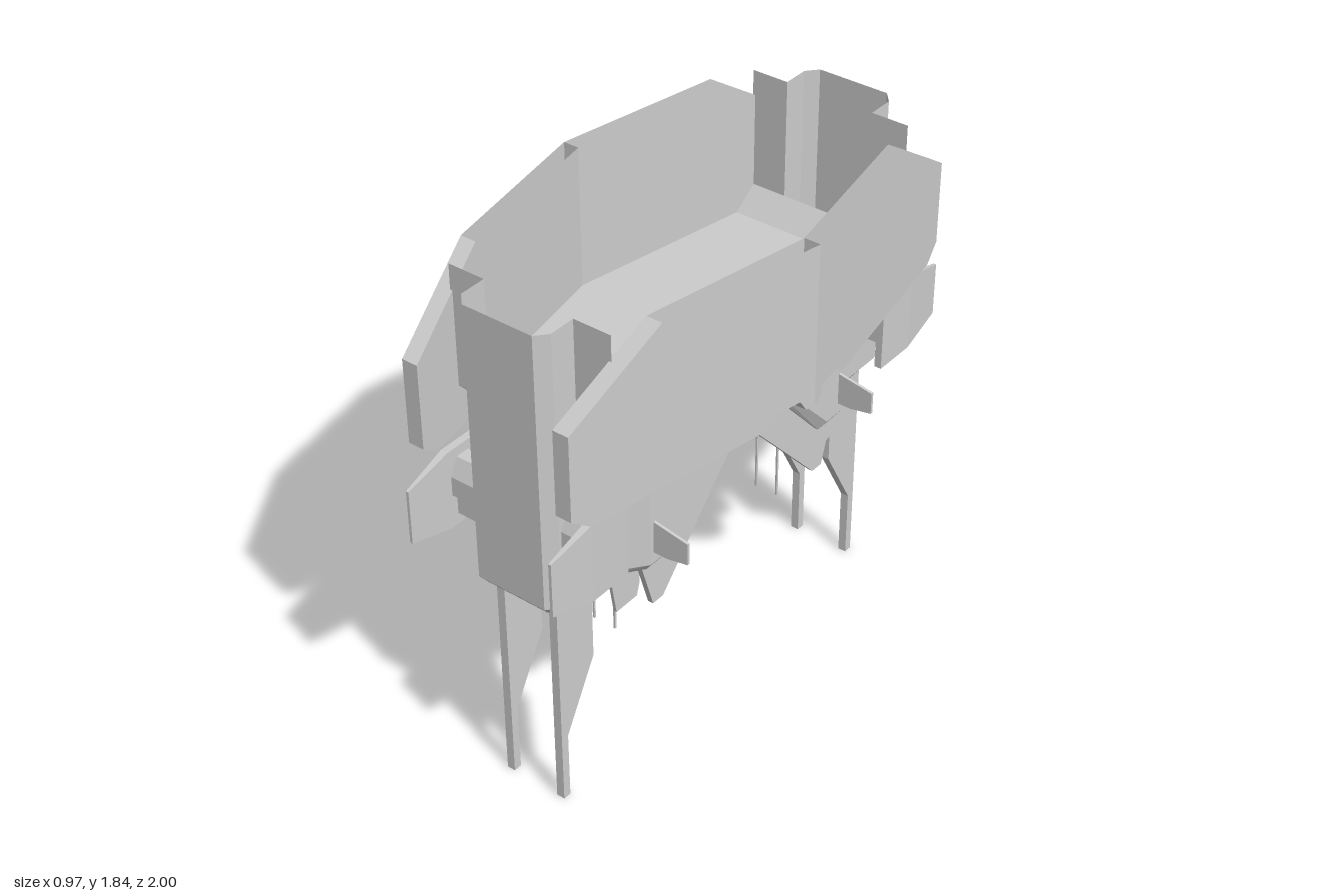
import * as THREE from 'three';
import { ConvexGeometry } from 'three/addons/geometries/ConvexGeometry.js';

const hull = new THREE.MeshStandardMaterial({ color: 0xcccccc, side: THREE.DoubleSide });
hull.name = 'hull grey';

// Plate with a (z, y) outline, centred on x
function sidePlate(outline, thick) {
  const shape = new THREE.Shape(outline.map(([z, y]) => new THREE.Vector2(z, y)));
  const g = new THREE.ExtrudeGeometry(shape, { depth: thick, bevelEnabled: false });
  return g.translate(0, 0, -thick / 2).rotateY(-Math.PI / 2);
}

// Open surface from quads [a, b, c, d]
function quads(list) {
  const pos = [];
  for (const [a, b, c, d] of list) pos.push(...a, ...b, ...c, ...a, ...c, ...d);
  const g = new THREE.BufferGeometry();
  g.setAttribute('position', new THREE.Float32BufferAttribute(pos, 3));
  g.computeVertexNormals();
  return g;
}

function convex(points) {
  return new ConvexGeometry(points.map(p => new THREE.Vector3(...p)));
}

// Points mirrored across x
const both = pts => pts.flatMap(([x, y, z]) => [[x, y, z], [-x, y, z]]);

// Slanted armour panel, open along its top edge
function armourPanel(s) {
  const g = sidePlate([[0, 1.26], [0.035, 1.26], [0.06, 1.3], [0.15, 1.3], [0.2, 1.26], [0.87, 1.26],
    [0.94, 1.31], [0.94, 1.61], [0.6, 1.835], [0, 1.835]], 0.057);
  const p = g.attributes.position, kept = [];
  for (let i = 0; i < p.count; i += 3) {
    if ([0, 1, 2].every(k => p.getY(i + k) > 1.83)) continue;
    for (let k = 0; k < 3; k++) {
      const z = p.getZ(i + k);
      kept.push(p.getX(i + k) + s * (0.4565 - 0.186 * z), p.getY(i + k), z);
    }
  }
  const out = new THREE.BufferGeometry();
  out.setAttribute('position', new THREE.Float32BufferAttribute(kept, 3));
  out.computeVertexNormals();
  return out;
}

function createHalf() {
  const half = new THREE.Group();
  const add = (name, geo, x = 0, y = 0, z = 0, parent = half) => {
    const m = new THREE.Mesh(geo, hull);
    m.name = name;
    m.position.set(x, y, z);
    parent.add(m);
    return m;
  };
  const box = (name, w, h, d, x, y, z, parent) => add(name, new THREE.BoxGeometry(w, h, d), x, y, z, parent);

  // Wedge-shaped lower body with bevelled bottom edges
  add('lowerBody', convex(both([
    [0.25, 1.325, 0], [0.25, 1.26, 0.03], [0.25, 0.845, 0.425], [0.25, 0.845, 0.51], [0.25, 1.325, 0.51],
    [0.225, 1.26, 0], [0.225, 0.81, 0.41], [0.225, 0.81, 0.5],
    [0.165, 1.325, 0.62], [0.165, 0.845, 0.62], [0.145, 0.81, 0.61]])));
  add('columnRoot', convex(both([
    [0.165, 1.325, 0.6], [0.165, 1.325, 0.735], [0.165, 0.845, 0.6], [0.165, 0.845, 0.735],
    [0.14, 0.81, 0.6], [0.14, 0.81, 0.735]])));

  // Hollow end column, open at the top and towards the tub
  const ring = (y, i) => [[0.165 - i, y, 0.735], [0.165 - i, y, 0.83 - i * 0.5], [0.13 - i * 0.5, y, 0.87 - i],
    [-0.13 + i * 0.5, y, 0.87 - i], [-0.165 + i, y, 0.83 - i * 0.5], [-0.165 + i, y, 0.735]];
  const rings = [ring(0.81, 0.028), ring(0.845, 0), ring(1.835, 0)];
  const faces = [];
  for (let r = 0; r < 2; r++) for (let k = 0; k < 5; k++)
    faces.push([rings[r][k + 1], rings[r][k], rings[r + 1][k], rings[r + 1][k + 1]]);
  const b = rings[0];
  faces.push([b[0], b[1], b[4], b[5]], [b[1], b[2], b[3], b[4]]);
  add('endColumn', quads(faces));
  add('columnBackWall', quads([[[-0.165, 1.3, 0.735], [-0.165, 1.41, 0.735], [0.165, 1.41, 0.735], [0.165, 1.3, 0.735]]]));

  // Tub floor, sloped floor end and end walls beside the column
  const span = (w0, y0, z0, w1, y1, z1) => [[-w0, y0, z0], [-w1, y1, z1], [w1, y1, z1], [w0, y0, z0]];
  add('tubFloor', quads([span(0.43, 1.33, 0, 0.31, 1.33, 0.66), span(0.31, 1.33, 0.66, 0.295, 1.41, 0.735)]));
  for (const s of [-1, 1]) {
    add('tubEndWall', quads([[[s * 0.165, 1.41, 0.735], [s * 0.3, 1.41, 0.735],
      [s * 0.3, 1.835, 0.735], [s * 0.165, 1.835, 0.735]]]));
    add('armourPanel', armourPanel(s));

    // Tapered shield plate on its mounting bars
    add('shieldPlate', convex([
      ...[0.267, 0.293].flatMap(x => [[s * x, 0.94, 0.67], [s * x, 1.225, 0.67], [s * x, 0.94, 0.83], [s * x, 1.225, 0.83]]),
      ...[0.27, 0.28].flatMap(x => [[s * x, 0.985, 1], [s * x, 1.18, 1]])]));
    add('shieldMount', convex([0.16, 0.27].flatMap(x => [
      [s * x, 1.19, 0.74], [s * x, 1.19, 0.79], [s * x, 1.13, 0.82], [s * x, 1.06, 0.82], [s * x, 1.04, 0.79], [s * x, 1.04, 0.74]])));
    box('shieldMountBar', 0.11, 0.06, 0.06, s * 0.215, 1.01, 0.77);

    // Small side fin
    add('sideFin', convex([0.485, 0.495].flatMap(z => [
      [s * 0.24, 0.885, z], [s * 0.24, 1.005, z], [s * 0.38, 0.98, z], [s * 0.38, 0.9, z], [s * 0.3, 0.885, z]])));

    // Long landing leg
    add('landingLeg', sidePlate([[0.64, 0.83], [0.64, 0.5], [0.775, 0.255], [0.775, 0], [0.805, 0], [0.805, 0.83]], 0.03), s * 0.105);

    // Belly rail, keel fin and antenna
    add('bellyRail', sidePlate([[0, 1.26], [0, 1.07], [0.405, 0.635], [0.455, 0.635], [0.515, 0.83], [0.41, 0.83]], 0.02), s * 0.203);
    add('keelFin', sidePlate([[0.605, 0.83], [0.575, 0.655], [0.475, 0.655], [0.46, 0.7], [0.46, 0.83]], 0.012), s * 0.158);
    box('antenna', 0.007, 0.4, 0.007, s * 0.043, 0.633, 0.44);
  }

  // Equipment blocks under the sloping belly
  const belly = new THREE.Group();
  belly.name = 'bellyBlocks';
  belly.position.set(0, 1.035, 0.205);
  belly.rotation.x = Math.atan2(0.45, 0.41);
  half.add(belly);
  box('bellyCrossBlock', 0.39, 0.05, 0.1, 0, -0.02, -0.12, belly);
  box('bellyLowerBlock', 0.39, 0.06, 0.12, 0, -0.025, 0.22, belly);
  for (const s of [-1, 1]) box('bellyPod', 0.1, 0.05, 0.14, s * 0.1, -0.02, 0.05, belly);
  return half;
}

export function createModel() {
  const model = new THREE.Group();
  model.name = 'spacecraft';
  // The two ends are the same, half a turn apart
  for (const [name, turn] of [['frontHalf', 0], ['backHalf', Math.PI]]) {
    const half = createHalf();
    half.name = name;
    half.rotation.y = turn;
    model.add(half);
  }
  return model;
}
